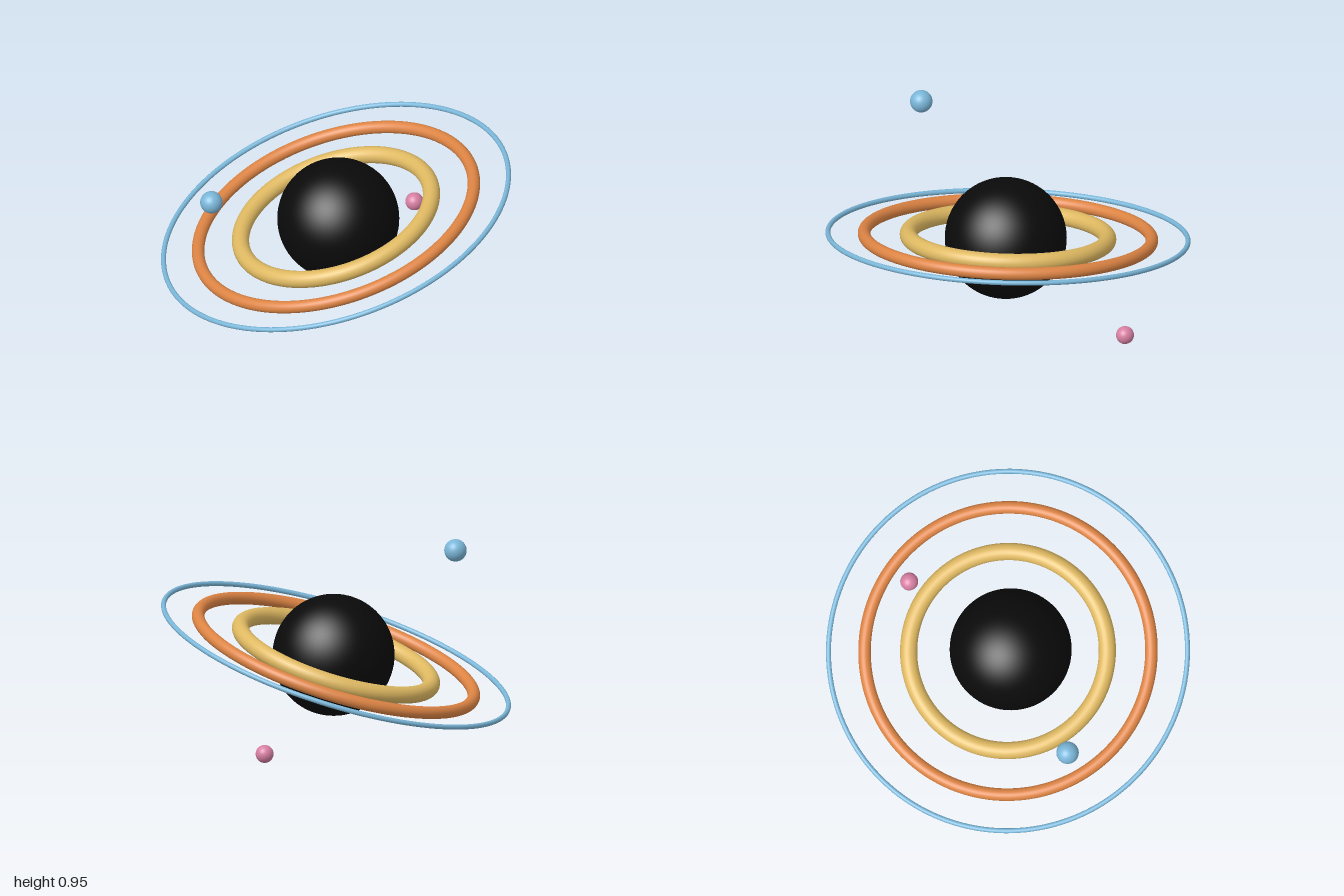
import * as THREE from 'three';

const flat = (name, color) => {
  const m = new THREE.MeshStandardMaterial({ color });
  m.name = name;
  return m;
};

export function createModel() {
  const black = flat('black', 0x0a0a0a);
  const gold = flat('gold', 0xdfb962);
  const orange = flat('orange', 0xdd8444);
  const blue = flat('blue', 0x7ab6d8);
  const pink = flat('pink', 0xd67fa2);

  const model = new THREE.Group();
  model.name = 'ringedSphere';

  const ball = (name, radius, x, y, z, material) => {
    const mesh = new THREE.Mesh(new THREE.SphereGeometry(radius, 64, 40), material);
    mesh.name = name;
    mesh.position.set(x, y, z);
    model.add(mesh);
  };

  // Central sphere and the two moons
  ball('core', 0.339, 0, 0.43, 0.017, black);
  ball('blueMoon', 0.0625, -0.822, 0.892, -0.161, blue);
  ball('pinkMoon', 0.05, 0.763, 0.05, -0.145, pink);

  // Concentric rings sharing one tilted plane
  const rings = new THREE.Group();
  rings.name = 'rings';
  rings.position.set(0, 0.43, -0.001);
  const normal = new THREE.Vector3(-0.181, 0.957, -0.226).normalize();
  rings.quaternion.setFromUnitVectors(new THREE.Vector3(0, 1, 0), normal);
  model.add(rings);

  for (const [name, radius, tube, material] of [
    ['innerRing', 0.554, 0.048, gold],
    ['middleRing', 0.8, 0.035, orange],
    ['outerRing', 1.001, 0.014, blue],
  ]) {
    const geometry = new THREE.TorusGeometry(radius, tube, 24, 160).rotateX(Math.PI / 2);
    const ring = new THREE.Mesh(geometry, material);
    ring.name = name;
    rings.add(ring);
  }

  return model;
}
